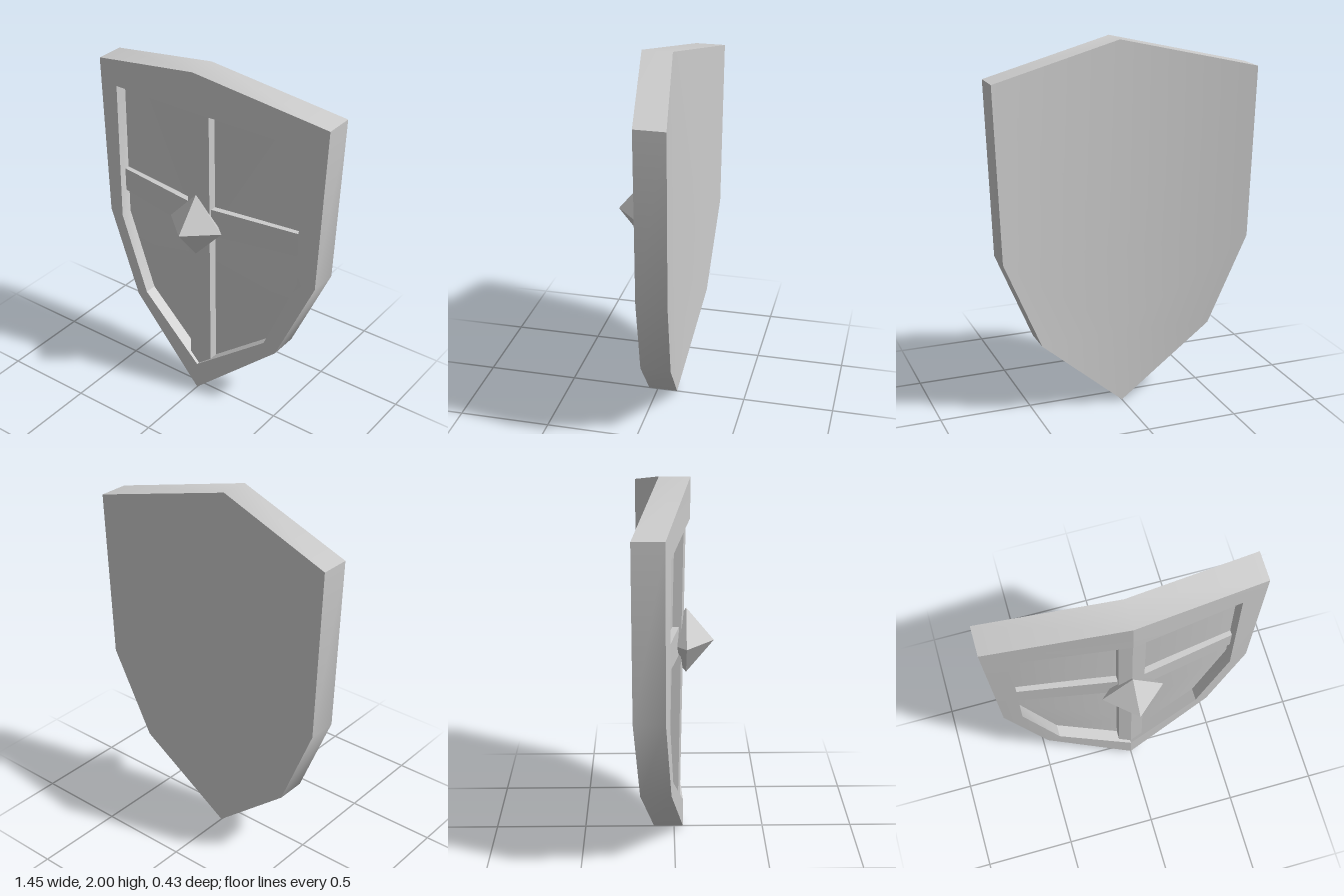
import * as THREE from 'three';
import { toCreasedNormals } from 'three/addons/utils/BufferGeometryUtils.js';

// Half outlines from the top centre, down the +x side, to the bottom tip
const OUTER = [[0, 2, 0.085], [0.725, 1.84, -0.05], [0.69, 0.91, -0.05], [0.48, 0.42, -0.02], [0, 0, 0.05]];
const INNER = [[0, 1.78, 0.083], [0.59, 1.72, -0.022], [0.59, 0.91, -0.03], [0.41, 0.465, -0.01], [0, 0.165, 0.05]];

const shift = (half, dz) => half.map(([x, y, z]) => [x, y, z + dz]);

// Closed loop of eight points, mirrored across x = 0
const ring = (half) => [...half, ...half.slice(1, -1).reverse().map(([x, y, z]) => [-x, y, z])];

// z of the folded front surface, used to bend the cross bars
const fold = (x, y) => 0.05 + 0.0175 * y - 0.178 * Math.abs(x);

function build(points, index) {
  const geo = new THREE.BufferGeometry();
  geo.setAttribute('position', new THREE.Float32BufferAttribute(points.flat(), 3));
  geo.setIndex(index);
  geo.computeVertexNormals();
  return geo;
}

// Band of quads between two half outlines
function band(halfA, halfB, crease) {
  const a = ring(halfA), b = ring(halfB), n = a.length, index = [];
  for (let i = 0; i < n; i++) {
    const j = (i + 1) % n;
    index.push(i, n + j, j, i, n + i, n + j);
  }
  return toCreasedNormals(build([...a, ...b], index), crease);
}

// Folded sheet filling a half outline and its mirror image
function sheet(half, facesBack) {
  const [top, , mid, low, tip] = half;
  const spine = (y) => [0, y, THREE.MathUtils.mapLinear(y, tip[1], top[1], tip[2], top[2])];
  const mirror = half.slice(1, 4).map(([x, y, z]) => [-x, y, z]);
  // 0 top, 1-3 +x side, 4 tip, 5 and 6 spine, 7-9 -x side
  const points = [...half, spine(mid[1]), spine(low[1]), ...mirror];
  const index = [];
  for (const [s, flip] of [[1, false], [7, true]]) {
    const tris = [[0, 5, s], [5, s + 1, s], [5, 6, s + 1], [6, s + 2, s + 1], [6, 4, s + 2]];
    for (const [a, b, c] of tris) {
      if (flip !== facesBack) index.push(a, c, b);
      else index.push(a, b, c);
    }
  }
  return build(points, index);
}

// Box bent along the fold; its front lies at the given depth below the rim face
function bar(width, height, centreY, depth, taper = 0) {
  const thick = 0.06;
  const geo = new THREE.BoxGeometry(width, height, thick, 2, 1, 1);
  const p = geo.attributes.position;
  for (let i = 0; i < p.count; i++) {
    const x = p.getX(i);
    const y = centreY + p.getY(i) * (1 - taper * Math.abs(x) / (width / 2));
    p.setXYZ(i, x, y, p.getZ(i) - thick / 2 - depth + fold(x, y));
  }
  return toCreasedNormals(geo, 0.2);
}

export function createModel() {
  const group = new THREE.Group();
  const material = new THREE.MeshStandardMaterial({ color: 0xcccccc });
  const add = (name, geo) => {
    const mesh = new THREE.Mesh(geo, material);
    mesh.name = name;
    group.add(mesh);
    return mesh;
  };

  // Body: back sheet, outer edge, raised rim and recessed panel
  const back = shift(OUTER, -0.163);
  const floor = shift(INNER, -0.07);
  add('backFace', sheet(back, true));
  add('outerEdge', band(back, OUTER, 0.5));
  add('rimFace', band(OUTER, INNER, 0.1));
  add('rimInnerWall', band(INNER, floor, 0.5));
  add('frontPanel', sheet(floor, false));

  // Cross bars, ends buried in the rim
  add('verticalBar', bar(0.14, 1.66, 0.99, 0.02)).position.x = 0.005;
  add('horizontalBar', bar(1.24, 0.165, 1.128, 0.035, 0.17));

  // Pointed central boss
  const boss = add('boss', new THREE.OctahedronGeometry(1));
  boss.scale.set(0.168, 0.182, 0.149);
  boss.position.set(0.005, 1.112, 0.065);

  return group;
}
